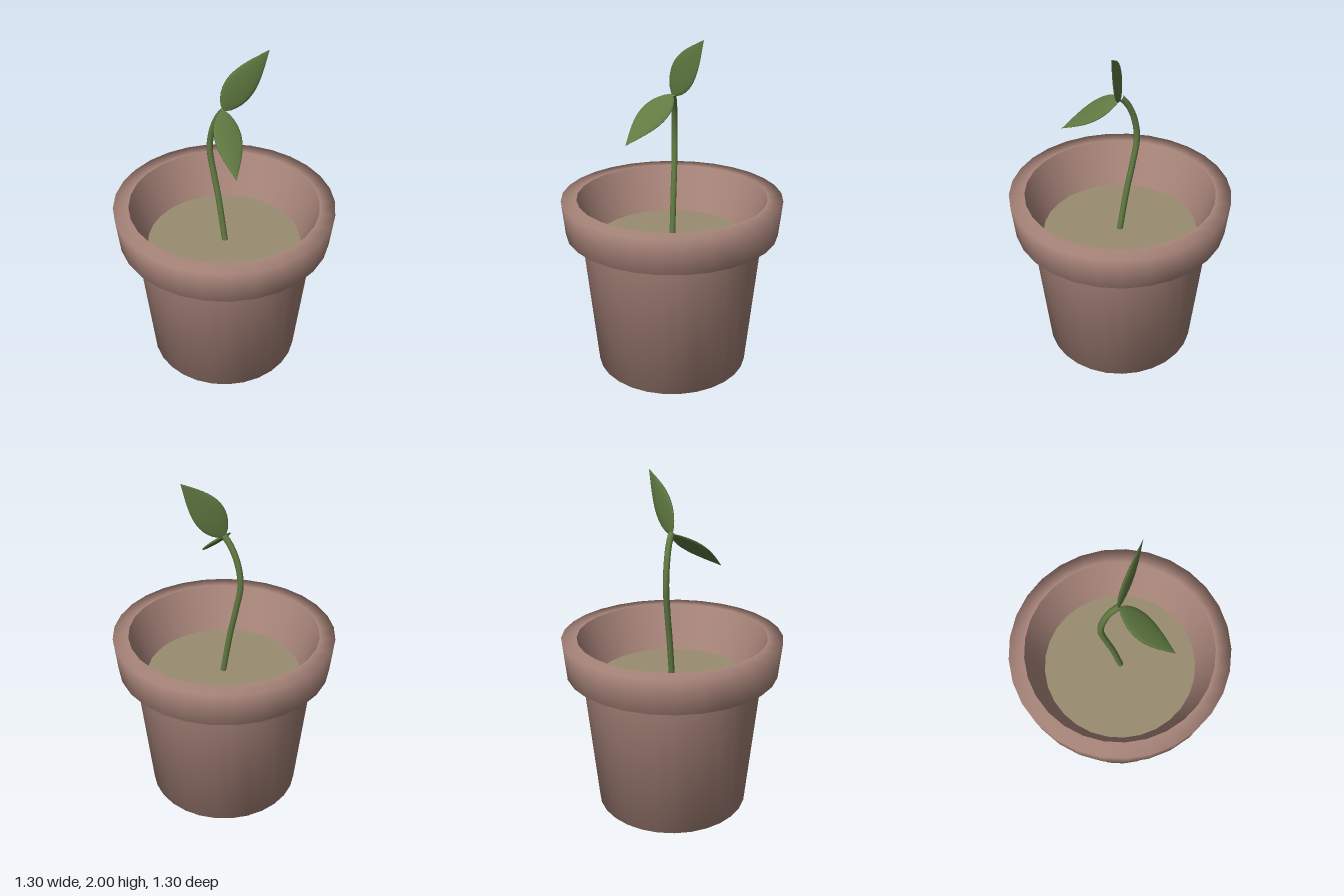
import * as THREE from 'three';
import { mergeVertices } from 'three/addons/utils/BufferGeometryUtils.js';

const SIDES = 29;
const clay = new THREE.MeshStandardMaterial({ color: 0xab877c });
const earth = new THREE.MeshStandardMaterial({ color: 0x998c70 });
const green = new THREE.MeshStandardMaterial({ color: 0x607a42 });

function part(name, geometry, material) {
  const mesh = new THREE.Mesh(geometry, material);
  mesh.name = name;
  return mesh;
}

function lathe(profile) {
  return new THREE.LatheGeometry(profile.map(([r, y]) => new THREE.Vector2(r, y)), SIDES, Math.PI);
}

// Lens-shaped leaf from base to tip; side is the direction of its width
function leaf(name, base, tip, side, width, thickness, bow) {
  let geo = new THREE.CylinderGeometry(1, 1, 1, 14, 14, true);
  const length = base.distanceTo(tip);
  const p = geo.attributes.position;
  for (let i = 0; i < p.count; i++) {
    const t = THREE.MathUtils.clamp(p.getY(i) + 0.5, 0, 1);
    const f = Math.max(Math.sin(Math.PI * Math.pow(t, 0.75)), 0.004);
    p.setXYZ(i, p.getX(i) * f * width / 2 - bow * Math.sin(Math.PI * t), t * length, p.getZ(i) * f * thickness / 2);
  }
  geo.deleteAttribute('uv');
  geo.deleteAttribute('normal');
  geo = mergeVertices(geo, 1e-5);
  geo.computeVertexNormals();
  // Frame: x across the leaf, y along it, z through it
  const along = tip.clone().sub(base).normalize();
  const through = side.clone().cross(along).normalize();
  const across = along.clone().cross(through);
  geo.applyMatrix4(new THREE.Matrix4().makeBasis(across, along, through).setPosition(base));
  return part(name, geo, green);
}

export function createModel() {
  const model = new THREE.Group();
  model.name = 'pottedSeedling';

  // Pot: tapered body, overhanging rim, sloping inner wall
  model.add(part('pot', lathe([[0, 0], [0.46, 0], [0.54, 0.86], [0.63, 0.86], [0.65, 1.07], [0.56, 1.07]]), clay));
  model.add(part('potInnerWall', lathe([[0.56, 1.07], [0.465, 0.79]]), clay));

  // Soil
  const soil = new THREE.CircleGeometry(0.466, SIDES, Math.PI / 2).rotateX(-Math.PI / 2).translate(0, 0.79, 0);
  model.add(part('soil', soil, earth));

  // Curved stem
  const path = new THREE.CatmullRomCurve3([
    [0.005, 0.78, 0], [-0.04, 1.07, -0.02], [-0.07, 1.22, -0.033], [-0.098, 1.4, -0.043],
    [-0.075, 1.54, -0.035], [-0.035, 1.63, -0.02], [0, 1.675, -0.004],
  ].map(v => new THREE.Vector3(...v)));
  model.add(part('stem', new THREE.TubeGeometry(path, 28, 0.018, 10), green));

  // Two leaves
  const V = (x, y, z) => new THREE.Vector3(x, y, z);
  model.add(leaf('upperLeaf', V(-0.008, 1.665, 0), V(0.212, 2.0, -0.115), V(0.709, -0.588, -0.388), 0.18, 0.026, 0.01));
  model.add(leaf('lowerLeaf', V(-0.005, 1.675, -0.005), V(0.152, 1.44, 0.304), V(0.126, -0.045, -0.098), 0.17, 0.026, 0.004));
  return model;
}
